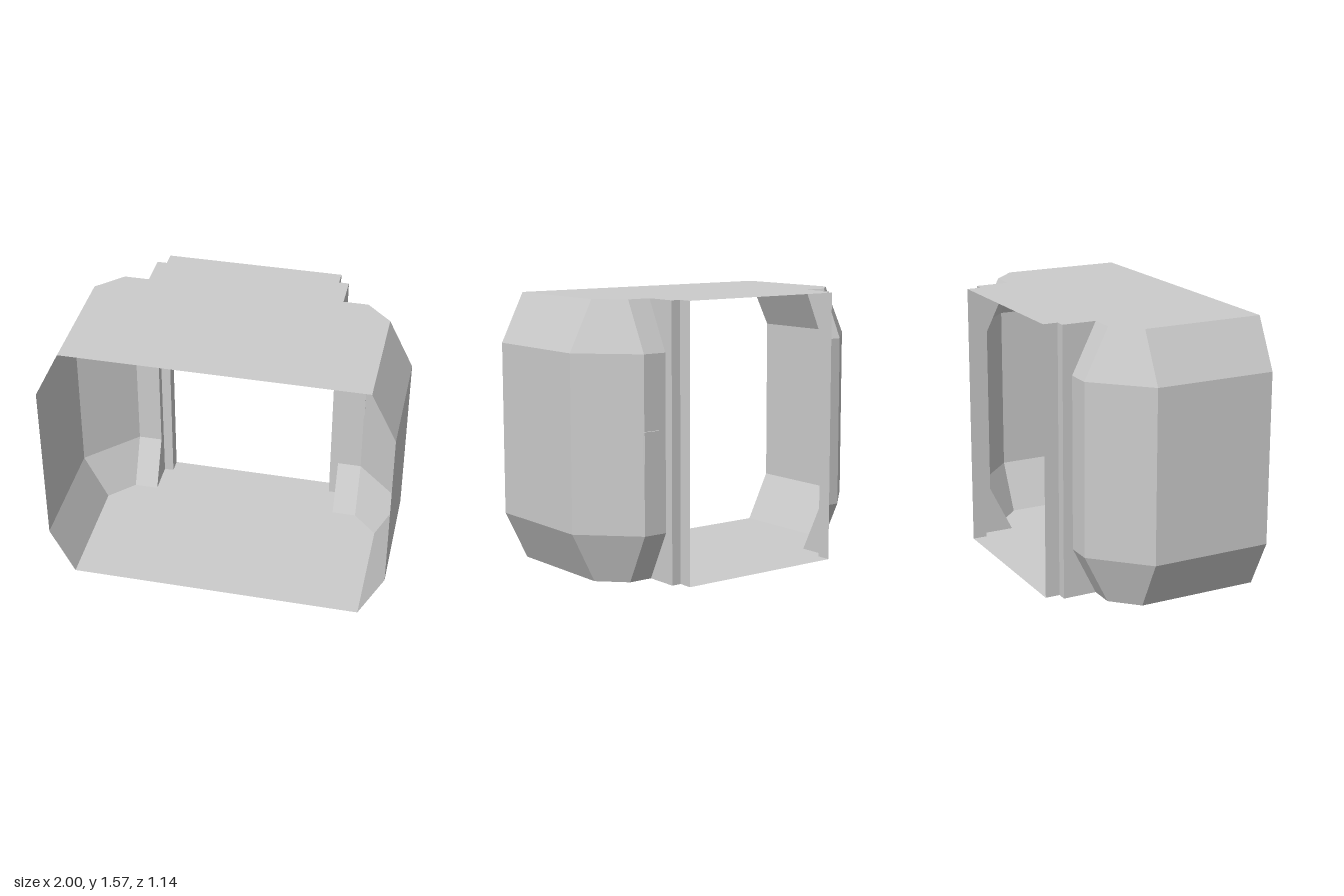
import * as THREE from 'three';

const U = 1 / 7; // design grid
const H = 11 * U;

// Wall outlines [x, z] for the +x side, running from front to back
const narrow = [[6, 4], [6, -1], [5, -2], [4, -2], [4, -3.4], [3.6, -3.4], [3.6, -4]];
const wide = [[7, 4], [7, -1], [5, -3], [4, -3], [4, -3.4], [3.6, -3.4], [3.6, -4]];
const levels = [[0, narrow], [2, wide], [9, wide], [11, narrow]];

// Faceted skin through the outlines, mirrored by side = -1
function wallGeometry(side) {
  const pos = [];
  const point = (j, i) => {
    const [y, outline] = levels[j];
    return [side * outline[i][0] * U, y * U, outline[i][1] * U];
  };
  for (let j = 0; j < levels.length - 1; j++) {
    for (let i = 0; i < narrow.length - 1; i++) {
      const a = point(j, i), b = point(j, i + 1), c = point(j + 1, i + 1), d = point(j + 1, i);
      const corners = side > 0 ? [a, b, c, a, c, d] : [a, c, b, a, d, c];
      corners.forEach((p) => pos.push(...p));
    }
  }
  const geo = new THREE.BufferGeometry();
  geo.setAttribute('position', new THREE.Float32BufferAttribute(pos, 3));
  geo.computeVertexNormals();
  return geo;
}

// Flat plate with the narrow outline, facing up (dir = 1) or down (dir = -1)
function plateGeometry(dir) {
  const half = narrow.map(([x, z]) => new THREE.Vector2(x * U, -dir * z * U));
  const other = half.map((p) => new THREE.Vector2(-p.x, p.y)).reverse();
  const geo = new THREE.ShapeGeometry(new THREE.Shape([...half, ...other]));
  return geo.rotateX(-dir * Math.PI / 2);
}

export function createModel() {
  const group = new THREE.Group();
  const mat = new THREE.MeshStandardMaterial({
    color: 0xcccccc, flatShading: true, side: THREE.DoubleSide,
  });
  const add = (name, geo, y = 0) => {
    const mesh = new THREE.Mesh(geo, mat);
    mesh.name = name;
    mesh.position.y = y;
    group.add(mesh);
    return mesh;
  };

  // Open shell
  add('leftWall', wallGeometry(1));
  add('rightWall', wallGeometry(-1));
  add('ceiling', plateGeometry(1), H);
  add('floor', plateGeometry(-1));

  // Small control panel beside the rear doorway
  add('doorPanel', new THREE.BoxGeometry(0.1, 0.175, 0.02)).position.set(0.67, 0.777, -0.43);

  return group;
}
